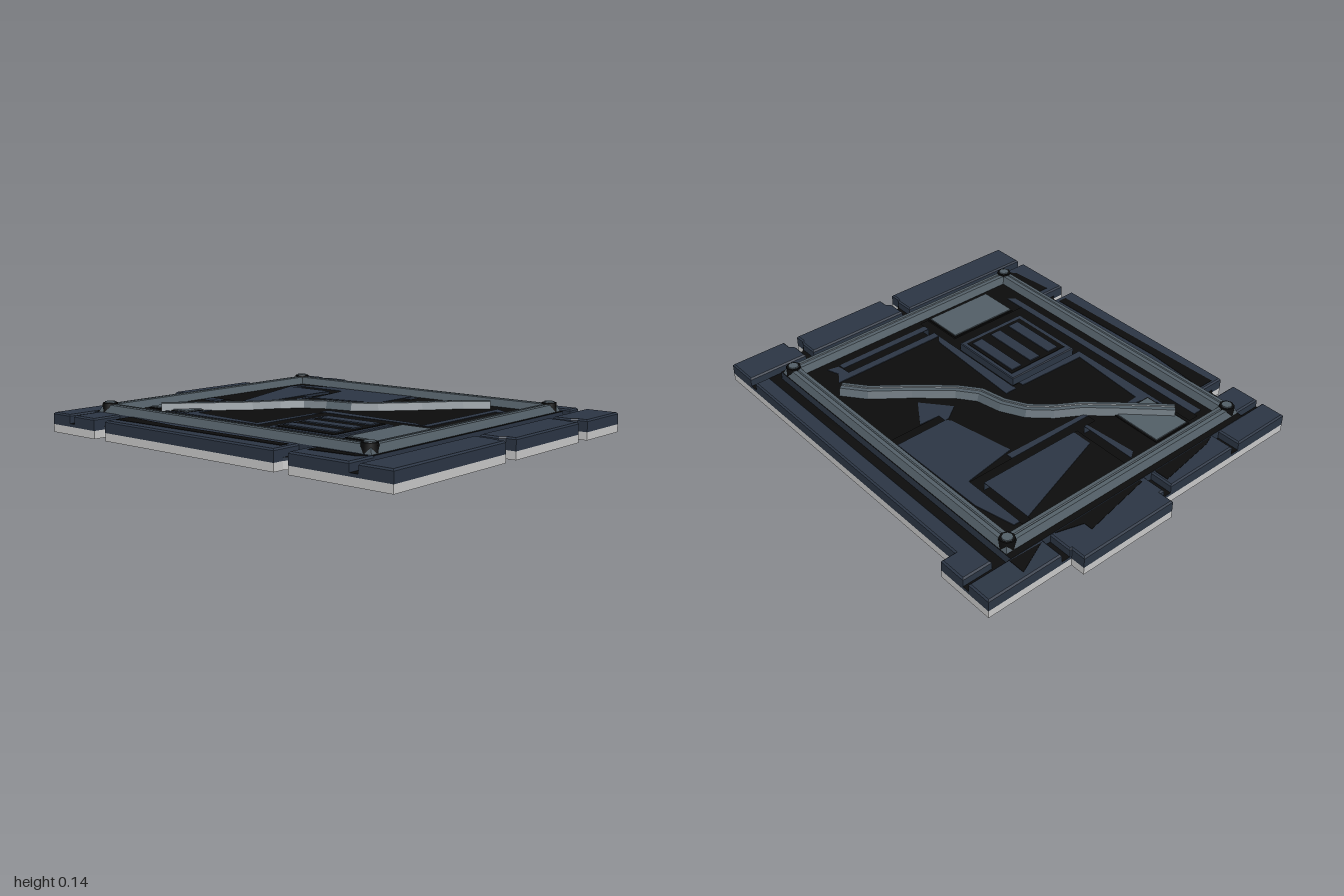
import * as THREE from 'three';

// Plan drafting grid: 188.5 divisions per unit, centred on (1133.5, 224.5)
const S = 188.5;
const px = x => (x - 1133.5) / S;
const pz = z => (z - 224.5) / S;
const rect = (x0, z0, x1, z1) => [[x0, z0], [x1, z0], [x1, z1], [x0, z1]];

const mat = (name, color) => {
  const m = new THREE.MeshStandardMaterial({ color });
  m.name = name;
  return m;
};

export function createModel() {
  const model = new THREE.Group();
  const navy = mat('navy', 0x2c3645);
  const black = mat('black', 0x0c0c0c);
  const steel = mat('steel', 0x535f67);
  const pale = mat('paleGrey', 0xcccccc);

  const add = (name, geometry, material) => {
    const mesh = new THREE.Mesh(geometry, material);
    mesh.name = name;
    model.add(mesh);
    return mesh;
  };

  // Plan outline raised from y0 to y1, optionally with bevelled edges
  const slab = (name, pts, y0, y1, material, bevel = 0, holes = []) => {
    const vec = list => list.map(([x, z]) => new THREE.Vector2(px(x), -pz(z)));
    const shape = new THREE.Shape(vec(pts));
    shape.holes = holes.map(h => new THREE.Path(vec(h)));
    const g = new THREE.ExtrudeGeometry(shape, {
      depth: y1 - y0 - 2 * bevel, bevelEnabled: bevel > 0, bevelSegments: 1,
      bevelSize: bevel, bevelThickness: bevel, bevelOffset: -bevel,
    });
    g.rotateX(-Math.PI / 2);
    g.translate(0, y0 + bevel, 0);
    return add(name, g, material);
  };

  // Raised strip: one cross-section swept along a mitred plan path
  const ridge = (name, path, closed, profile, y, material) => {
    const p = path.map(([x, z]) => new THREE.Vector2(px(x), pz(z)));
    const n = p.length, m = profile.length, pos = [], idx = [];
    for (let i = 0; i < n; i++) {
      const prev = closed || i > 0 ? p[(i + n - 1) % n] : null;
      const next = closed || i < n - 1 ? p[(i + 1) % n] : null;
      const d0 = (prev ? p[i].clone().sub(prev) : next.clone().sub(p[i])).normalize();
      const d1 = (next ? next.clone().sub(p[i]) : d0.clone()).normalize();
      const d = d0.clone().add(d1).normalize();
      const k = 1 / d.dot(d1);
      for (const [s, h] of profile) pos.push(p[i].x - d.y * s * k, y + h, p[i].y + d.x * s * k);
    }
    for (let i = 0; i < (closed ? n : n - 1); i++) {
      for (let j = 0; j < m - 1; j++) {
        const a = i * m + j, c = ((i + 1) % n) * m + j;
        idx.push(a, a + 1, c, c, a + 1, c + 1);
      }
    }
    if (!closed) {
      const e = (n - 1) * m;
      for (let j = 1; j < m - 1; j++) idx.push(0, j + 1, j, e, e + j, e + j + 1);
    }
    const g = new THREE.BufferGeometry();
    g.setAttribute('position', new THREE.Float32BufferAttribute(pos, 3));
    g.setIndex(idx);
    const flat = g.toNonIndexed();
    flat.computeVertexNormals();
    return add(name, flat, material);
  };

  // Notched outline shared by the pale base and the dark body
  const sideNotch = z => [[972, z + 14], [982, z + 14], [985, z + 12], [986, z + 10],
    [986, z + 4], [985, z + 2], [982, z], [972, z]];
  const frontNotch = x => [[x + 14, 413], [x + 14, 404], [x + 12, 401], [x + 10, 399],
    [x + 4, 399], [x + 2, 401], [x, 404], [x, 413]];
  const outline = [[972, 49], [1121, 49], [1121, 36], [1215, 36], [1215, 49], [1295, 49],
    [1295, 102], [1282, 102], [1282, 413], ...frontNotch(1215), ...frontNotch(1107),
    [972, 413], ...sideNotch(305), ...sideNotch(103)];
  slab('base', outline, 0, 0.036, pale);
  slab('grooveFloor', outline, 0.036, 0.05, [black, navy]);

  // Border blocks, separated by grooves
  const T = 0.09;
  const blocks = {
    backBlock: [
      rect(972, 49, 1029, 71), rect(1037, 49, 1109, 71), rect(1225, 49, 1295, 71),
      [[1117, 49], [1121, 49], [1121, 36], [1215, 36], [1215, 49], [1217, 49], [1217, 71], [1117, 71]],
    ],
    leftSideBlock: [[[1268, 77], [1295, 77], [1295, 102], [1282, 102], [1282, 375], [1268, 375]]],
    rightSideBlock: [rect(972, 77, 1000, 103), rect(972, 117, 1000, 305), rect(972, 319, 1000, 375)],
    frontBlock: [
      [[972, 383], [1109, 383], [1109, 400], [1107, 404], [1107, 413], [972, 413]],
      [[1117, 383], [1217, 383], [1217, 400], [1215, 404], [1215, 413], [1121, 413], [1121, 404], [1117, 400]],
      [[1225, 383], [1282, 383], [1282, 413], [1229, 413], [1229, 404], [1225, 400]],
    ],
  };
  for (const [name, list] of Object.entries(blocks)) {
    for (const pts of list) slab(name, pts, 0.04, T, navy, 0.007);
  }

  // Central panel with sunken channels
  const channels = [
    [[1028, 95], [1037, 95], [1037, 227], [1117, 227], [1117, 335], [1212, 335], [1212, 343],
      [1117, 343], [1117, 355], [1109, 355], [1109, 315], [1028, 315]],
    [[1109, 90], [1117, 90], [1117, 146], [1217, 146], [1217, 92], [1225, 92], [1225, 154],
      [1097, 154], [1097, 146], [1109, 146]],
    rect(1191, 227, 1240, 235),
  ];
  slab('centralPanel', rect(999, 70, 1256, 375), 0.04, T, [black, navy], 0, channels);

  // Navy plates inlaid on the central panel
  const inlays = [
    [[1121, 127], [1217, 95], [1217, 146], [1121, 146]],
    [[1097, 154], [1181, 154], [1181, 160], [1097, 158]],
    [[1175, 163], [1225, 155], [1225, 95], [1231, 95], [1239, 130], [1240, 227], [1190, 227], [1187, 223]],
    [[1173, 237], [1187, 227], [1191, 227], [1191, 235], [1210, 236], [1193, 261]],
    [[1037, 115], [1042, 139], [1077, 144], [1048, 146], [1043, 220], [1109, 222], [1109, 227], [1037, 227]],
    [[1117, 222], [1128, 222], [1123, 320], [1117, 328]],
    [[1117, 328], [1227, 328], [1220, 339], [1224, 350], [1214, 348], [1212, 335], [1117, 335]],
    [[1117, 343], [1212, 343], [1212, 349], [1117, 349]],
    [[1020, 98], [1028, 98], [1028, 335], [1022, 330]],
    [[1102, 97], [1109, 92], [1109, 146], [1106, 146]],
  ];
  for (const pts of inlays) slab('navyInlay', pts, T, T + 0.003, navy);

  // Dark worn plates on the border
  const wear = [
    [[981, 120], [996, 120], [991, 180], [993, 300], [985, 300], [983, 200]],
    [[986, 325], [996, 325], [996, 372], [990, 365]],
    [[1040, 69], [1050, 65], [1106, 56], [1106, 69]],
    [[1123, 69], [1123, 67], [1190, 54], [1190, 62], [1214, 69]],
    [[1228, 68], [1258, 54], [1258, 69]],
  ];
  for (const pts of wear) slab('wornPatch', pts, T, T + 0.002, black);

  // Vent grille
  slab('ventBody', rect(1037, 235, 1109, 307), 0.04, T, navy, 0.004);
  slab('ventOpening', rect(1042, 241, 1105, 302), T, T + 0.003, black);
  for (const x of [1048, 1069.5, 1091]) slab('ventSlat', rect(x, 244, x + 11, 298), T, T + 0.008, navy);

  // Grey access plates with dark surrounds
  for (const [x0, z0, x1, z1] of [[1042, 94, 1078, 138], [1039, 318, 1106, 354]]) {
    slab('plateSurround', rect(x0 - 1.5, z0 - 1.5, x1 + 1.5, z1 + 1.5), T, T + 0.004, black);
    slab('accessPlate', rect(x0, z0, x1, z1), T, T + 0.009, steel);
  }

  // Raised frame and winding conduit
  const profile = [[-0.037, 0], [-0.022, 0.033], [-0.004, 0.035], [0, 0.031], [0.004, 0.035], [0.022, 0.033], [0.037, 0]];
  const corners = rect(1006, 82.5, 1248.5, 365.5);
  ridge('raisedFrame', corners, true, profile, T, steel);
  ridge('conduit', [[1039, 110], [1068, 138], [1095, 163], [1116, 176], [1132, 191], [1142, 210],
    [1147, 233], [1160, 250], [1188, 275], [1217, 298], [1232, 317]], false, profile, T, steel);

  // Corner bolts
  for (const [x, z] of corners) {
    const ring = add('boltRing', new THREE.CylinderGeometry(0.034, 0.038, 0.04, 8), black);
    ring.position.set(px(x), 0.111, pz(z));
    const bolt = add('boltHead', new THREE.CylinderGeometry(0.024, 0.026, 0.01, 8), steel);
    bolt.position.set(px(x), 0.131, pz(z));
  }
  return model;
}
